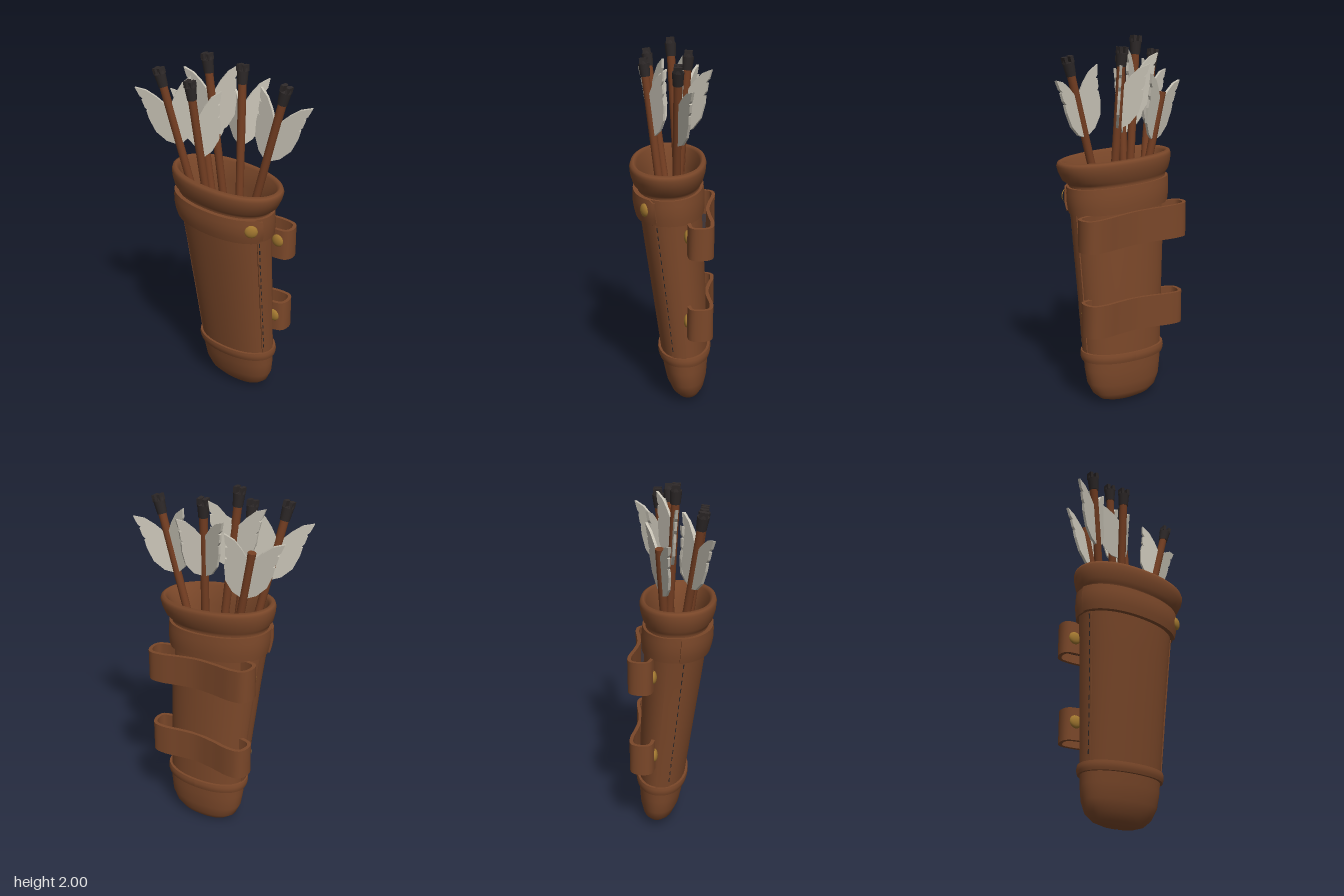
import * as THREE from 'three';

const mat = (name, color, side = THREE.FrontSide) => {
  const m = new THREE.MeshStandardMaterial({ color, side });
  m.name = name;
  return m;
};

// body sections: [y, xMin, xMax, zBack, zFront]
const OUTER = [
  [0, 0.035, 0.045, -0.1, -0.095], [0.008, -0.05, 0.14, -0.135, -0.055],
  [0.025, -0.11, 0.195, -0.162, -0.025], [0.06, -0.155, 0.235, -0.182, 0.005],
  [0.12, -0.18, 0.263, -0.195, 0.032], [0.2, -0.19, 0.273, -0.2, 0.05],
  [0.3, -0.195, 0.275, -0.2, 0.065], [0.6, -0.215, 0.28, -0.187, 0.108],
  [0.9, -0.24, 0.288, -0.17, 0.152], [1.1, -0.262, 0.295, -0.158, 0.18],
  [1.23, -0.27, 0.3, -0.152, 0.192],
];
const RIM = [
  [1.245, -0.275, 0.312, -0.155, 0.2], [1.265, -0.29, 0.338, -0.168, 0.215],
  [1.31, -0.3, 0.36, -0.18, 0.228], [1.345, -0.302, 0.37, -0.183, 0.231],
  [1.363, -0.296, 0.364, -0.177, 0.225], [1.37, -0.28, 0.348, -0.163, 0.21],
  [1.355, -0.262, 0.33, -0.147, 0.192], [1.25, -0.235, 0.27, -0.125, 0.165],
  [0.9, -0.16, 0.21, -0.1, 0.125], [0.4, -0.02, 0.16, -0.05, 0.065],
];

// upper part of the quiver leans slightly down towards +x
const lean = (x, y) => y - 0.07 * (x - 0.035) * THREE.MathUtils.smoothstep(y, 0.6, 1.1);
const soft = v => Math.sign(v) * Math.abs(v) ** 0.92;

function sectionPoint([y, x0, x1, z0, z1], t, off = 0) {
  const x = (x0 + x1) / 2 + ((x1 - x0) / 2 + off) * soft(Math.sin(t));
  const z = (z0 + z1) / 2 + ((z1 - z0) / 2 + off) * soft(Math.cos(t));
  return new THREE.Vector3(x, lean(x, y), z);
}

function sectionAt(y) {
  let i = 0;
  while (i < OUTER.length - 2 && OUTER[i + 1][0] < y) i++;
  const k = (y - OUTER[i][0]) / (OUTER[i + 1][0] - OUTER[i][0]);
  return OUTER[i].map((v, j) => v + (OUTER[i + 1][j] - v) * k);
}

function loft(sections, n = 56) {
  const pos = [], idx = [];
  sections.forEach((s, r) => {
    for (let i = 0; i < n; i++) {
      pos.push(...sectionPoint(s, (i / n) * Math.PI * 2));
      if (r === 0) continue;
      const j = (i + 1) % n, lo = (r - 1) * n, hi = r * n;
      idx.push(lo + i, lo + j, hi + j, lo + i, hi + j, hi + i);
    }
  });
  const g = new THREE.BufferGeometry();
  g.setAttribute('position', new THREE.Float32BufferAttribute(pos, 3));
  g.setIndex(idx);
  g.computeVertexNormals();
  return g;
}

// a box bent by a rule: u along, v up, w outwards, each from 0 to 1
function bend(segU, segV, rule) {
  const g = new THREE.BoxGeometry(1, 1, 1, segU, segV, 1);
  const p = g.attributes.position;
  for (let i = 0; i < p.count; i++) {
    p.setXYZ(i, ...rule(p.getX(i) + 0.5, p.getY(i) + 0.5, p.getZ(i) + 0.5));
  }
  g.computeVertexNormals();
  return g;
}

// leather strip lying on the body between two angles
const wrap = (t0, t1, y0, y1, off, segU, segV = 4, roundEnd = false) => bend(segU, segV, (u, v, w) => {
  const k = roundEnd && u > 0.96 ? 0.82 : 1;
  const y = (y0 + y1) / 2 + (v - 0.5) * (y1 - y0) * k;
  const bulge = off * (0.75 + 0.25 * Math.sin(v * Math.PI));
  return sectionPoint(sectionAt(y), t0 + (t1 - t0) * u, w ? bulge : -0.01);
});

export function createModel() {
  const model = new THREE.Group();
  const leather = mat('leather', 0x7a4729);
  const wood = mat('arrow wood', 0x743e22);
  const feather = mat('feather', 0xc6c1b4, THREE.DoubleSide);
  const dark = mat('dark horn', 0x2d2828);
  const brass = mat('brass', 0xa0762f);
  const shadow = mat('lining', 0x3a3133, THREE.DoubleSide);
  const add = (name, geo, material, parent = model) => {
    const m = new THREE.Mesh(geo, material);
    m.name = name;
    parent.add(m);
    return m;
  };

  // quiver body with its rolled rim and inner wall
  add('quiverBody', loft([...OUTER, ...RIM]), leather);
  const floor = add('quiverFloor', new THREE.CircleGeometry(1, 24), dark);
  floor.rotation.x = -Math.PI / 2;
  floor.scale.set(0.1, 0.065, 1);
  floor.position.set(0.07, 0.41, 0.008);

  // collar belt, its overlapping tab and the bottom ring
  add('collarBelt', wrap(0.9, 0.9 + Math.PI * 2, 1.085, 1.225, 0.02, 64), leather);
  add('collarTab', wrap(-1.4, 1.3, 1.085, 1.225, 0.032, 36, 4, true), leather);
  add('bottomRing', wrap(Math.PI, Math.PI * 3, 0.255, 0.305, 0.018, 64), leather);

  // side seams with stitches
  for (const s of [-1, 1]) {
    const c = s * 1.45;
    add('sideSeam', wrap(c - 0.26, c + 0.26, 0.3, 1.09, 0.007, 4, 12), leather);
    for (let i = 0; i < 16; i++) {
      const y = 0.34 + i * 0.047;
      const t = c - s * 0.2;
      add('stitch', wrap(t - 0.015, t + 0.015, y, y + 0.026, 0.01, 1, 1), dark);
    }
  }

  // domed stud facing a given direction
  const stud = (x, y, z, dir, r = 0.036) => {
    const g = new THREE.SphereGeometry(r, 20, 8, 0, Math.PI * 2, 0, Math.PI / 2);
    g.scale(1, 0.5, 1);
    const m = add('stud', g, brass);
    m.position.set(x, y, z);
    m.quaternion.setFromUnitVectors(new THREE.Vector3(0, 1, 0), dir.normalize());
  };
  const collarStud = sectionPoint(sectionAt(1.165), 0.98, 0.03);
  stud(collarStud.x, collarStud.y, collarStud.z, new THREE.Vector3(0.55, 0, 0.85));

  // back straps: open loops pinched against the back
  const strapPath = [
    [0.17, -0.1], [0.28, -0.102], [0.33, -0.12], [0.338, -0.17], [0.315, -0.213], [0.25, -0.222],
    [0.14, -0.205], [0.03, -0.193], [-0.08, -0.203], [-0.2, -0.22], [-0.265, -0.211], [-0.288, -0.17],
    [-0.28, -0.12], [-0.23, -0.102], [-0.12, -0.1],
  ];
  for (const [yc, k, shift] of [[1.0, 1, 0], [0.52, 0.94, 0.002]]) {
    const pts = strapPath.map(([x, z]) => new THREE.Vector3(0.025 + (x - 0.025) * k + shift, 0, z));
    const curve = new THREE.CatmullRomCurve3(pts);
    add('backStrap', bend(72, 2, (u, v, w) => {
      const p = curve.getPointAt(u), d = curve.getTangentAt(u);
      const o = (w - 0.5) * 0.02;
      const x = p.x + d.z * -o, z = p.z + d.x * o;
      return [x, lean(x, yc + (v - 0.5) * 0.18), z];
    }), leather);
    const lining = add('strapLining', new THREE.ShapeGeometry(
      new THREE.Shape(curve.getSpacedPoints(48).map(p => new THREE.Vector2(p.x, -p.z)))), shadow);
    lining.rotation.x = -Math.PI / 2;
    lining.position.y = yc - 0.03;
    for (const x of [0.292, -0.245]) {
      stud(0.025 + (x - 0.025) * k + shift, yc + 0.01, -0.092, new THREE.Vector3(0, 0, 1));
    }
  }

  // one ragged feather vane, spreading away from the shaft
  const vaneShape = new THREE.Shape([
    [0, 0], [0.055, 0.03], [0.1, 0.09], [0.118, 0.17], [0.119, 0.215], [0.108, 0.212], [0.123, 0.235],
    [0.128, 0.28], [0.116, 0.28], [0.133, 0.3], [0.145, 0.35], [0.09, 0.325], [0.045, 0.28], [0, 0.22],
  ].map(([x, y]) => new THREE.Vector2(x, y)));
  const vaneGeo = new THREE.ExtrudeGeometry(vaneShape, { depth: 0.014, bevelEnabled: false });
  vaneGeo.translate(0, 0, -0.007);

  // arrows: nock tip, point near the rim, vane directions in x and z, whole or broken
  const arrows = [
    [[-0.305, 1.92, 0.165], [-0.19, 1.3, 0.07], [[-0.9, 0.45], [0.8, -0.6]], true],
    [[-0.1, 2.0, 0.02], [-0.04, 1.3, -0.02], [[-0.95, 0.1], [0.75, -0.65]], true],
    [[-0.095, 1.89, 0.165], [-0.065, 1.3, 0.09], [[0.7, -0.7], [-0.7, -0.7]], true],
    [[0.05, 1.945, -0.085], [0.07, 1.3, -0.04], [[-0.85, -0.3], [0.5, -0.8]], true],
    [[0.355, 1.9, -0.045], [0.2, 1.3, -0.03], [[0.85, -0.5], [-0.95, -0.1]], true],
    [[-0.25, 1.86, -0.065], [-0.14, 1.3, -0.04], [[-0.9, 0.4], [0.8, -0.4]], false],
  ];
  const up = new THREE.Vector3(0, 1, 0);
  for (const [tipAt, rimAt, vanes, whole] of arrows) {
    const arrow = new THREE.Group();
    arrow.name = whole ? 'arrow' : 'brokenArrow';
    const tip = new THREE.Vector3(...tipAt);
    const axis = tip.clone().sub(new THREE.Vector3(...rimAt)).normalize();
    const spin = new THREE.Quaternion().setFromUnitVectors(up, axis);
    const place = (mesh, back) => {
      mesh.quaternion.copy(spin);
      mesh.position.copy(tip).addScaledVector(axis, -back);
    };
    const top = whole ? 0.07 : 0.16;
    place(add('shaft', new THREE.CylinderGeometry(0.022, 0.022, 1.1 - top, 12), wood, arrow), (1.1 + top) / 2);
    if (whole) {
      place(add('nock', new THREE.CylinderGeometry(0.031, 0.026, 0.07, 12), dark, arrow), 0.065);
      for (const s of [-1, 1]) {
        const prong = new THREE.CylinderGeometry(0.022, 0.031, 0.034, 8, 1, false, s * Math.PI / 2 - 1.1, 2.2);
        prong.scale(1, 1, 0.95);
        const block = new THREE.BoxGeometry(0.018, 0.034, 0.042).translate(s * 0.017, 0, 0);
        place(add('nockProng', prong, dark, arrow), 0.016);
        place(add('nockProng', block, dark, arrow), 0.016);
      }
    }
    for (const [dx, dz] of vanes) {
      const n = new THREE.Vector3(dx, 0, dz).cross(axis).normalize();
      const d = axis.clone().cross(n);
      const vane = add('featherVane', vaneGeo, feather, arrow);
      vane.quaternion.setFromRotationMatrix(new THREE.Matrix4().makeBasis(d, axis, n));
      vane.position.copy(tip).addScaledVector(axis, -0.43).addScaledVector(d, 0.008);
    }
    model.add(arrow);
  }
  return model;
}
